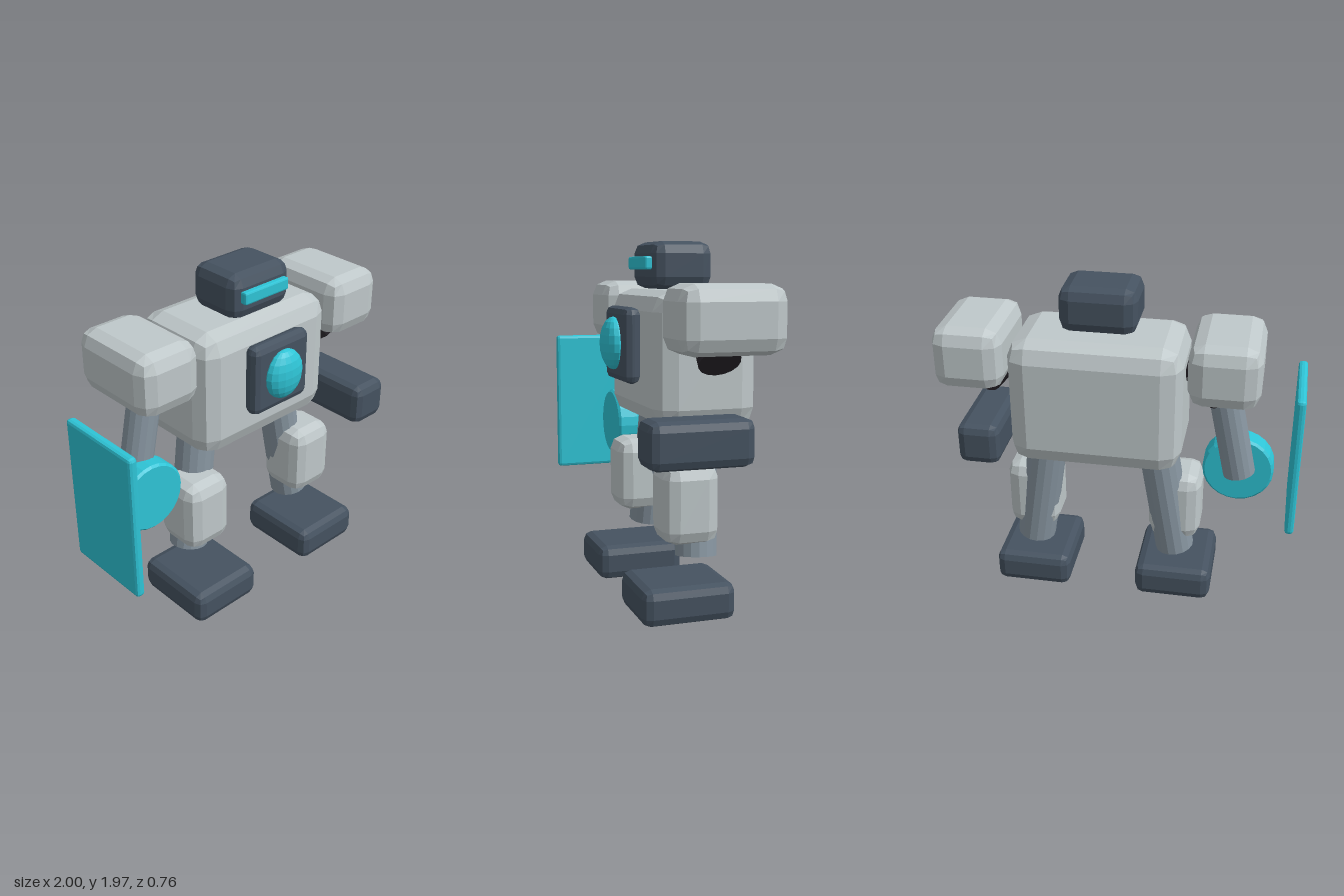
import * as THREE from 'three';
import { RoundedBoxGeometry } from 'three/addons/geometries/RoundedBoxGeometry.js';

const AXIS = 0.118; // x of the robot's own centre line

function paint(name, color) {
  const m = new THREE.MeshStandardMaterial({ color });
  m.name = name;
  return m;
}

export function createModel() {
  const light = paint('light armour', 0xbfc8ca);
  const dark = paint('dark slate', 0x455260);
  const cyan = paint('cyan', 0x2ec4d6);
  const steel = paint('steel limb', 0x8795a0);
  const black = paint('black joint', 0x2a262c);

  const robot = new THREE.Group();
  robot.name = 'robot';

  // Facets a geometry and adds it as a named part
  function add(name, geometry, material, parent = robot) {
    const g = geometry.index ? geometry.toNonIndexed() : geometry;
    g.computeVertexNormals();
    const mesh = new THREE.Mesh(g, material);
    mesh.name = name;
    parent.add(mesh);
    return mesh;
  }

  // Box with two-facet bevelled edges
  function block(name, size, pos, bevel, material) {
    const mesh = add(name, new RoundedBoxGeometry(...size, 1, bevel), material);
    mesh.position.set(...pos);
    return mesh;
  }

  // Round limb between two points
  function limb(name, from, to, radius, material) {
    const a = new THREE.Vector3(...from);
    const b = new THREE.Vector3(...to);
    const dir = b.clone().sub(a);
    const mesh = add(name, new THREE.CylinderGeometry(radius, radius, dir.length(), 16), material);
    mesh.position.copy(a).add(b).multiplyScalar(0.5);
    mesh.quaternion.setFromUnitVectors(new THREE.Vector3(0, 1, 0), dir.normalize());
    return mesh;
  }

  // Torso, chest and head
  block('torso', [0.945, 0.725, 0.572], [AXIS, 1.348, -0.095], 0.11, light);
  block('chestPlate', [0.412, 0.41, 0.095], [AXIS, 1.415, 0.243], 0.04, dark);
  const core = add('chestCore', new THREE.SphereGeometry(1, 16, 10), cyan);
  core.scale.set(0.129, 0.145, 0.07);
  core.position.set(AXIS, 1.42, 0.298);
  block('head', [0.423, 0.255, 0.345], [AXIS, 1.843, -0.042], 0.065, dark);
  block('visor', [0.317, 0.07, 0.06], [AXIS, 1.855, 0.133], 0.01, cyan);

  // Mirrored shoulders, upper arms, legs and feet
  for (const s of [-1, 1]) {
    const side = s > 0 ? 'left' : 'right';
    const x = (offset) => AXIS + s * offset;
    block(side + 'Shoulder', [0.385, 0.35, 0.57], [x(0.687), 1.577, -0.081], 0.085, light);
    limb(side + 'UpperArm', [x(0.5), 1.575, -0.07], [x(0.682), 1.36, -0.06], 0.11, black);
    limb(side + 'Leg', [x(0.31), 1.05, -0.07], [x(0.425), 0.308, -0.035], 0.113, steel);
    block(side + 'ShinGuard', [0.302, 0.427, 0.307], [x(0.421), 0.607, 0.026], 0.075, light);
    block(side + 'Foot', [0.453, 0.2, 0.51], [x(0.428), 0.103, 0.072], 0.05, dark);
  }

  // Right forearm with its round hand
  limb('rightForearm', [-0.558, 1.385, -0.065], [-0.665, 0.87, -0.06], 0.091, steel);
  const rim = [[0, -0.065], [0.19, -0.065], [0.203, -0.052], [0.203, 0.052], [0.19, 0.065], [0, 0.065]];
  const disc = add('rightHandDisc', new THREE.LatheGeometry(rim.map((p) => new THREE.Vector2(...p)), 24), cyan);
  disc.rotation.x = Math.PI / 2;
  disc.position.set(-0.655, 0.863, 0.035);

  // Floating shield and left fist
  block('shield', [0.052, 0.862, 0.525], [-0.974, 0.963, 0.112], 0.018, cyan);
  block('leftFist', [0.247, 0.246, 0.56], [0.826, 0.971, 0.072], 0.05, dark);

  return robot;
}
